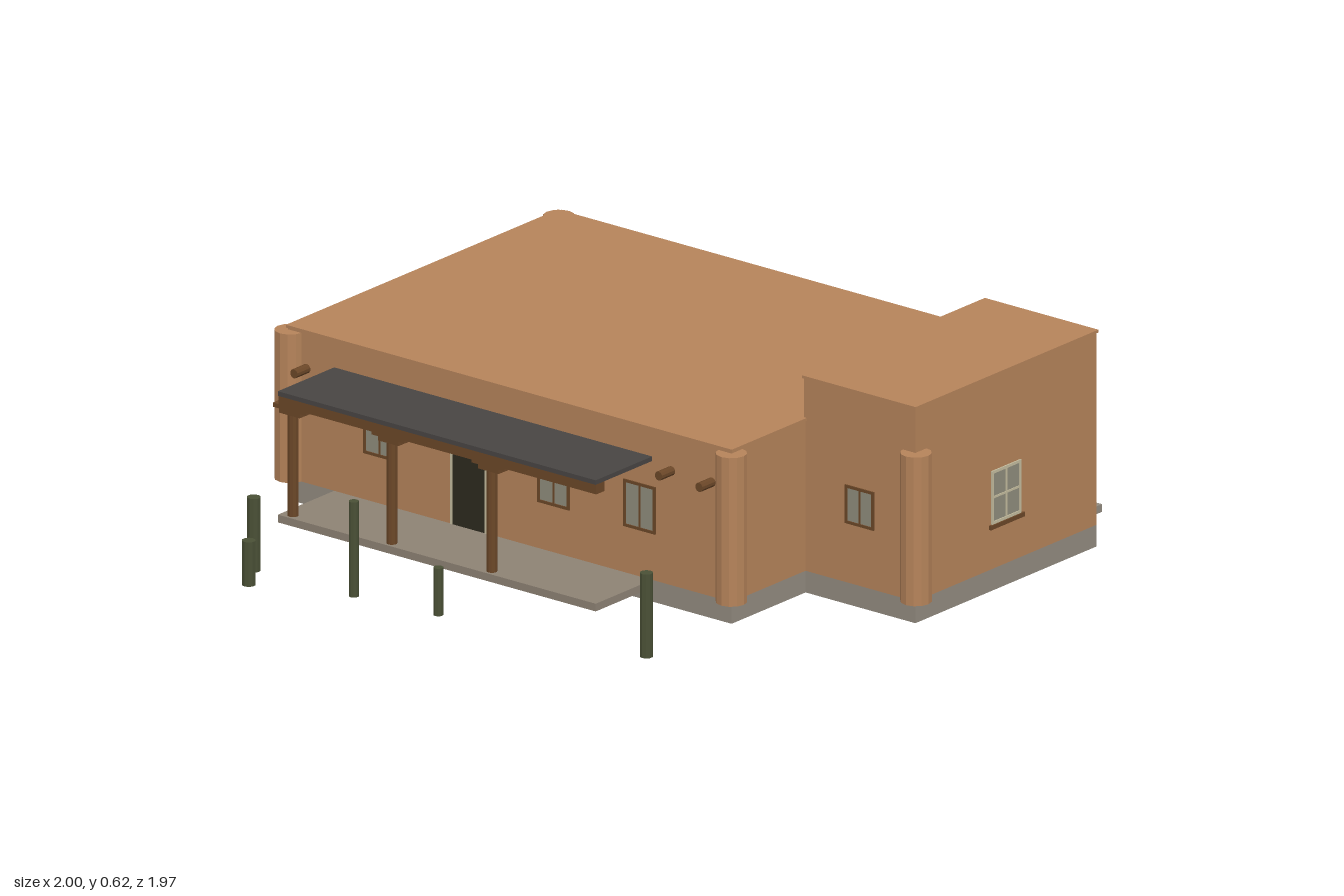
import * as THREE from 'three';

const mat = (color, extra = {}) => {
  const m = new THREE.MeshStandardMaterial(extra);
  m.color.set(color);
  return m;
};
const adobe = mat(0xb5835a);
const buttressMat = mat(0xb5835a, { flatShading: true });
const stone = mat(0x928b80);
const slabMat = mat(0x8d8274);
const wood = mat(0x6b4728);
const poleMat = mat(0x6b4728, { flatShading: true });
const roofMat = mat(0x484543);
const glass = mat(0x8f8c7c);
const paleFrame = mat(0xc4bc9e);
const darkDoor = mat(0x2d2a1e);
const redDoor = mat(0x4a2013);
const cactusMat = mat(0x4a5036, { flatShading: true });

// Box given by its min and max along each axis
function box(parent, name, material, [x0, x1], [y0, y1], [z0, z1]) {
  const mesh = new THREE.Mesh(new THREE.BoxGeometry(x1 - x0, y1 - y0, z1 - z0), material);
  mesh.position.set((x0 + x1) / 2, (y0 + y1) / 2, (z0 + z1) / 2);
  mesh.name = name;
  parent.add(mesh);
  return mesh;
}

function pole(parent, name, material, x, z, y0, y1, r, sides) {
  const mesh = new THREE.Mesh(new THREE.CylinderGeometry(r, r, y1 - y0, sides), material);
  mesh.position.set(x, (y0 + y1) / 2, z);
  mesh.name = name;
  parent.add(mesh);
  return mesh;
}

// Four-sided frame in the local xy plane, from the opening's outer size
function frame(parent, material, w, y0, y1, t, depth) {
  const z = [-0.002, depth];
  for (const s of [-1, 1]) {
    const a = s * w / 2, b = s * (w / 2 - t);
    box(parent, 'frameSide', material, [Math.min(a, b), Math.max(a, b)], [y0, y1], z);
  }
  box(parent, 'frameTop', material, [-w / 2 + t, w / 2 - t], [y1 - t, y1], z);
}

// Window facing local +z, resting on the wall plane
function windowUnit({ w = 0.11, y0 = 0.195, y1 = 0.33, rows = 2, color = paleFrame, sill = true }) {
  const g = new THREE.Group();
  g.name = 'window';
  const t = 0.008;
  box(g, 'pane', glass, [-w / 2 + t, w / 2 - t], [y0 + t, y1 - t], [-0.002, 0.001]);
  frame(g, color, w, y0, y1, t, 0.004);
  box(g, 'frameBottom', color, [-w / 2 + t, w / 2 - t], [y0, y0 + t], [-0.002, 0.004]);
  box(g, 'mullion', color, [-0.003, 0.003], [y0 + t, y1 - t], [-0.001, 0.003]);
  if (rows > 1) {
    const m = (y0 + y1) / 2;
    box(g, 'crossbar', color, [-w / 2 + t, w / 2 - t], [m - 0.003, m + 0.003], [-0.001, 0.003]);
  }
  if (sill) box(g, 'sill', wood, [-w / 2 - 0.01, w / 2 + 0.01], [y0 - 0.012, y0], [-0.002, 0.008]);
  return g;
}

function doorUnit(w, material, trim) {
  const g = new THREE.Group();
  g.name = 'door';
  box(g, 'doorLeaf', material, [-w / 2 + 0.006, w / 2 - 0.006], [0.062, 0.326], [-0.002, 0.002]);
  frame(g, trim, w, 0.062, 0.333, 0.006, 0.004);
  return g;
}

function place(parent, unit, x, z, turn = 0) {
  unit.position.set(x, 0, z);
  unit.rotation.y = turn;
  parent.add(unit);
}

export function createModel() {
  const model = new THREE.Group();
  model.name = 'adobeHouse';

  // Blocks: footing, wall and thin roof cap
  const blocks = [
    ['main', [-0.96, 0.575], [-0.85, 0.3], 0.5],
    ['wing', [0.57, 0.955], [-0.785, -0.015], 0.62],
  ];
  for (const [name, x, z, top] of blocks) {
    const g = new THREE.Group();
    g.name = name + 'Block';
    box(g, 'footing', stone, x, [0, 0.062], z);
    box(g, 'walls', adobe, x, [0.062, top - 0.006], z);
    const grow = ([a, b]) => [a - 0.004, b + 0.004];
    box(g, 'roofCap', adobe, grow(x), [top - 0.008, top], grow(z));
    model.add(g);
  }

  // Rounded corner buttresses
  for (const [x, z] of [[-0.956, 0.296], [0.571, 0.296], [0.953, -0.02], [-0.956, -0.848]])
    pole(model, 'cornerButtress', buttressMat, x, z, 0.062, 0.487, 0.043, 12);

  // Porch: slab, roof, beam, posts with brackets
  const porch = new THREE.Group();
  porch.name = 'porch';
  box(porch, 'porchSlab', slabMat, [-0.8, 0.3], [0.04, 0.062], [0.3, 0.54]);
  box(porch, 'porchRoof', roofMat, [-0.8, 0.3], [0.402, 0.415], [0.3, 0.54]);
  box(porch, 'porchBeam', wood, [-0.8, 0.3], [0.374, 0.402], [0.502, 0.538]);
  for (const x of [-0.765, -0.423, -0.077]) {
    pole(porch, 'post', poleMat, x, 0.518, 0.062, 0.36, 0.015, 10);
    box(porch, 'bracketUpper', wood, [x - 0.057, x + 0.057], [0.364, 0.376], [0.498, 0.534]);
    box(porch, 'bracketLower', wood, [x - 0.036, x + 0.036], [0.352, 0.364], [0.5, 0.534]);
  }
  model.add(porch);

  // Projecting roof log ends
  for (const x of [-0.895, 0.367, 0.507])
    pole(model, 'logEnd', poleMat, x, 0.325, 0.36, 0.42, 0.013, 10).rotation.x = Math.PI / 2;
  for (const log of model.children.filter((c) => c.name === 'logEnd')) log.position.y = 0.39;

  // Front openings
  for (const x of [-0.642, -0.04, 0.258])
    place(model, windowUnit({ rows: 1, color: wood, sill: false }), x, 0.3);
  place(model, windowUnit({ w: 0.1, y0: 0.232, y1: 0.342, rows: 1, color: wood, sill: false }), 0.763, -0.015);
  place(model, doorUnit(0.125, darkDoor, paleFrame), -0.333, 0.3);

  // Side openings
  place(model, windowUnit({ w: 0.125, y0: 0.19, y1: 0.343 }), 0.955, -0.4, Math.PI / 2);
  for (const z of [-0.45, -0.11])
    place(model, windowUnit({}), -0.96, z, -Math.PI / 2);

  // Back openings
  for (const x of [-0.575, 0.18])
    place(model, windowUnit({ w: 0.12 }), x, -0.85, Math.PI);
  place(model, doorUnit(0.11, redDoor, paleFrame), -0.2, -0.85, Math.PI);
  for (const s of [-1, 1])
    place(model, windowUnit({ w: 0.105 }), 0.765 + s * 0.097, -0.785, Math.PI);
  place(model, doorUnit(0.085, redDoor, paleFrame), 0.765, -0.785, Math.PI);

  // Back door steps
  box(model, 'backStep', stone, [-0.3, -0.085], [0.04, 0.062], [-0.985, -0.85]);
  box(model, 'wingStep', stone, [0.65, 0.865], [0.04, 0.062], [-0.92, -0.785]);

  // Column cacti in the yard: x, z, top, radius
  const cacti = [
    [-0.615, 0.87, 0.25, 0.019], [-0.555, 0.965, 0.167, 0.019], [-0.28, 0.856, 0.312, 0.014],
    [-0.012, 0.826, 0.176, 0.014], [0.626, 0.725, 0.28, 0.018],
  ];
  for (const [x, z, top, r] of cacti) pole(model, 'cactus', cactusMat, x, z, 0.04, top, r, 10);

  return model;
}
